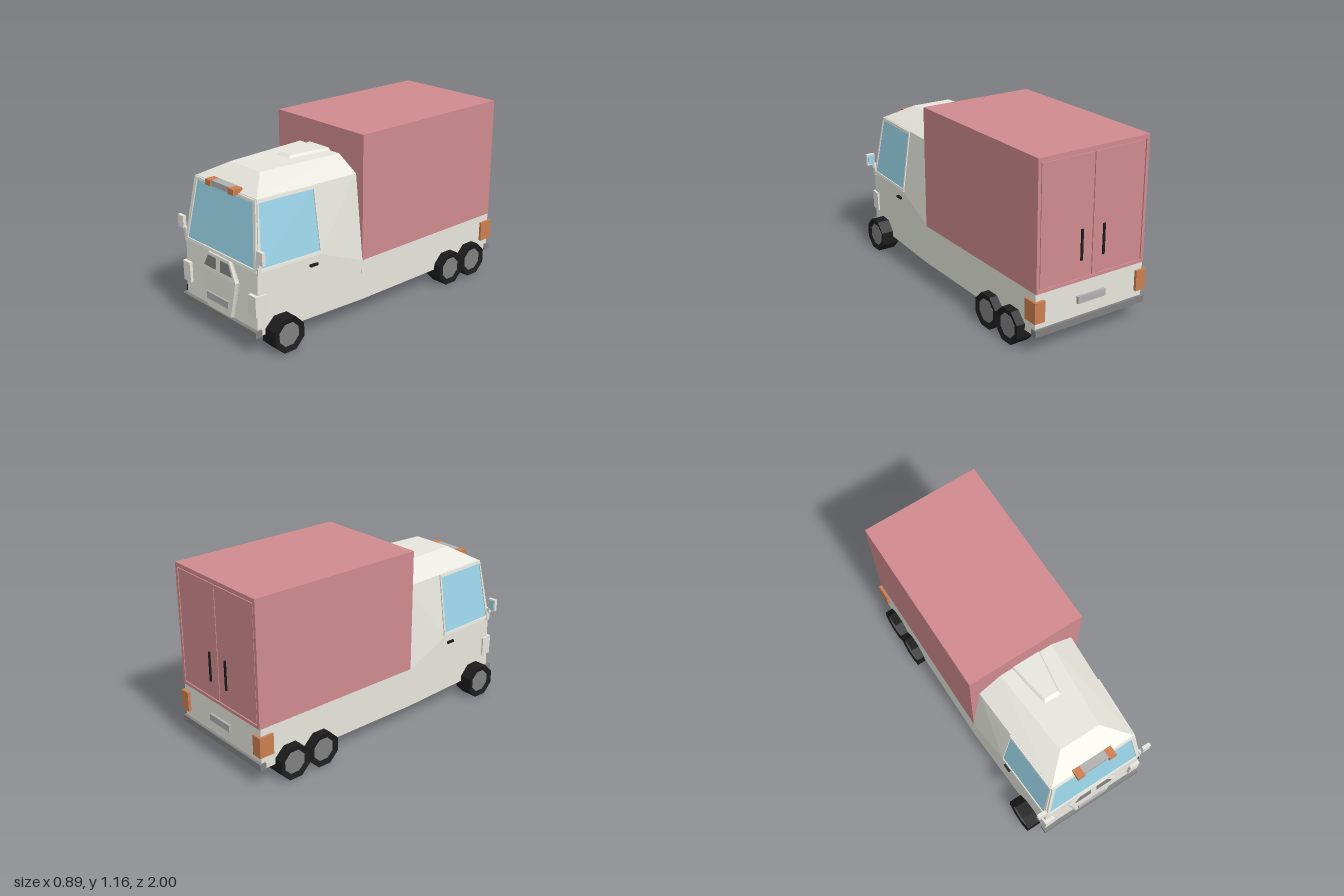
import * as THREE from 'three';
import { ConvexGeometry } from 'three/addons/geometries/ConvexGeometry.js';

const mat = (color) => new THREE.MeshStandardMaterial({ color, flatShading: true });

export function createModel() {
  const van = new THREE.Group();
  van.name = 'boxVan';
  const white = mat(0xe6e6de), pink = mat(0xd08a8f), glass = mat(0x9ad4e8), orange = mat(0xcc7f50);
  const grey = mat(0x808080), silver = mat(0xb0b0b0), black = mat(0x1c1c1c);

  const add = (name, geometry, material) => {
    const mesh = new THREE.Mesh(geometry, material);
    mesh.name = name;
    van.add(mesh);
    return mesh;
  };
  // box given by its limits on each axis
  const box = (name, m, x0, x1, y0, y1, z0, z1) => {
    const mesh = add(name, new THREE.BoxGeometry(Math.abs(x1 - x0), y1 - y0, z1 - z0), m);
    mesh.position.set((x0 + x1) / 2, (y0 + y1) / 2, (z0 + z1) / 2);
    return mesh;
  };
  // faceted solid around a few corner points
  const hull = (name, m, pts) => add(name, new ConvexGeometry(pts.map((p) => new THREE.Vector3(...p))), m);
  const mirrored = (pts) => pts.flatMap(([x, y, z]) => [[x, y, z], [-x, y, z]]);
  // thin slab: a flat outline pushed out along an offset, sunk a little behind it
  const slab = (name, m, pts, dir, depth) => hull(name, m, [-0.006, depth].flatMap((d) =>
    pts.map((p) => p.map((v, i) => v + dir[i] * d))));
  const frame = (name, outer, inner, dir, depth) => {
    for (let i = 0; i < 4; i++) {
      const j = (i + 1) % 4;
      slab(name, white, [outer[i], outer[j], inner[j], inner[i]], dir, depth);
    }
  };

  // slope of the nose and of the cab sides
  const noseZ = (y) => (y < 0.5 ? 0.975 - (y - 0.11) * 0.038 : 0.96 - (y - 0.5) * 0.134);
  const sideX = (y, z) => THREE.MathUtils.lerp(0.39 - 0.0526 * (z - 0.2), 0.33 - 0.0567 * (z - 0.2), (y - 0.5) / 0.41);

  // chassis, cab and cargo box
  box('lowerBody', white, -0.39, 0.39, 0.11, 0.372, -0.98, 0.2);
  hull('cab', white, mirrored([
    [0.39, 0.11, 0.195], [0.39, 0.37, 0.195], [0.33, 0.91, 0.195], [0.18, 1.0, 0.195],
    [0.373, 0.5, 0.52], [0.349, 0.11, 0.975], [0.35, 0.5, 0.96], [0.29, 0.91, 0.905], [0.137, 1.0, 0.76],
  ]));
  hull('roofScoop', white, mirrored([
    [0.105, 0.99, 0.19], [0.06, 0.995, 0.49], [0.09, 1.015, 0.19], [0.047, 1.015, 0.46],
  ]));
  box('cargoBox', pink, -0.39, 0.39, 0.37, 1.16, -0.977, 0.195);

  // rear rim and doors
  box('rearRimTop', pink, -0.39, 0.39, 1.135, 1.16, -0.986, -0.977);
  box('rearRimBottom', pink, -0.39, 0.39, 0.37, 0.39, -0.986, -0.977);
  for (const s of [-1, 1]) {
    box('rearRimSide', pink, s * 0.37, s * 0.39, 0.39, 1.135, -0.986, -0.977);
    box('rearDoor', pink, s * 0.003, s * 0.364, 0.396, 1.128, -0.984, -0.975);
    box('rearDoorHandle', black, s * 0.072, s * 0.086, 0.5, 0.69, -0.992, -0.98);
  }

  // windscreen
  const front = (pts) => pts.map(([x, y]) => [x, y, noseZ(y)]);
  const screen = front([[-0.325, 0.52], [0.325, 0.52], [0.268, 0.89], [-0.268, 0.89]]);
  slab('windscreen', glass, screen, [0, 0, 1], 0.002);
  frame('windscreenFrame', front([[-0.348, 0.502], [0.348, 0.502], [0.291, 0.906], [-0.291, 0.906]]),
    screen, [0, 0, 1], 0.01);

  // front panel with two vents and a plate
  slab('frontPanel', white, mirrored([[0.115, 0.5], [0.182, 0.385], [0.13, 0.15]].map(([x, y]) => [x, y, noseZ(y)])),
    [0, 0, 1], 0.003);
  hull('frontPanelRaised', white, mirrored([
    [0.115, 0.5, 0.958], [0.182, 0.385, 0.965], [0.13, 0.15, 0.973],
    [0.1, 0.498, 0.974], [0.165, 0.383, 0.982], [0.116, 0.15, 0.988],
  ]));
  box('frontPlate', silver, -0.105, 0.105, 0.205, 0.25, 0.97, 0.997);

  // bumpers and rear plate
  box('frontBumper', grey, -0.365, 0.365, 0.11, 0.152, 0.95, 0.998);
  box('rearBumper', grey, -0.4, 0.4, 0.11, 0.152, -0.998, -0.955);
  box('rearPlate', silver, -0.1, 0.1, 0.235, 0.28, -0.997, -0.975);

  // marker lamps above the windscreen
  box('lampBar', silver, -0.085, 0.085, 0.9, 0.936, 0.885, 0.94);

  for (const s of [-1, 1]) {
    box('markerLamp', orange, s * 0.085, s * 0.135, 0.9, 0.936, 0.885, 0.95);

    // side window
    const side = (pts) => pts.map(([y, z]) => [s * sideX(y, z), y, z]);
    const pane = side([[0.522, 0.52], [0.522, 0.937], [0.89, 0.9], [0.89, 0.52]]);
    slab('sideWindow', glass, pane, [s, 0, 0], 0.002);
    frame('sideWindowFrame', side([[0.503, 0.508], [0.503, 0.957], [0.908, 0.907], [0.908, 0.508]]),
      pane, [s, 0, 0], 0.008);

    // front panel vent
    slab('vent', grey, [[0.136, 0.41, 0.982], [0.023, 0.41, 0.982], [0.023, 0.48, 0.977], [0.1, 0.48, 0.977]]
      .map(([x, y, z]) => [s * x, y, z]), [0, 0, 1], 0.003);

    // headlight wrapping the corner
    hull('headlight', white, [[0.29, 0.365], [0.36, 0.365], [0.285, 0.237], [0.357, 0.237]]
      .flatMap(([x, y]) => [[s * x, y, 0.987], [s * (x + 0.006), y, 0.91]]));

    // wing mirror
    box('mirrorArm', white, s * 0.343, s * 0.37, 0.545, 0.575, 0.945, 0.965);
    box('mirrorBracket', white, s * 0.343, s * 0.36, 0.49, 0.55, 0.94, 0.965);
    box('mirrorHousing', white, s * 0.357, s * 0.412, 0.567, 0.645, 0.95, 0.972);
    box('mirrorGlass', glass, s * 0.363, s * 0.406, 0.575, 0.637, 0.947, 0.952);

    box('doorHandle', black, s * 0.36, s * 0.384, 0.441, 0.455, 0.542, 0.597);
    box('tailLight', orange, s * 0.335, s * 0.405, 0.195, 0.325, -0.998, -0.9);

    // eight-sided wheels, dished on the outside
    for (const z of [0.813, -0.562, -0.778]) {
      const R = 0.1137;
      const wheel = new THREE.Group();
      wheel.name = 'wheel';
      const tyre = new THREE.Mesh(new THREE.LatheGeometry(
        [[0, -0.059], [R, -0.059], [R, 0.059], [0.076, 0.05]].map((p) => new THREE.Vector2(...p)), 8, Math.PI / 8), black);
      tyre.name = 'tyre';
      const hub = new THREE.Mesh(new THREE.CylinderGeometry(0.076, 0.076, 0.02, 8, 1, false, Math.PI / 8), grey);
      hub.name = 'hub';
      hub.position.y = 0.041;
      wheel.add(tyre, hub);
      wheel.rotation.z = -s * Math.PI / 2;
      wheel.position.set(s * 0.386, 0.105, z);
      van.add(wheel);
    }
  }
  return van;
}
